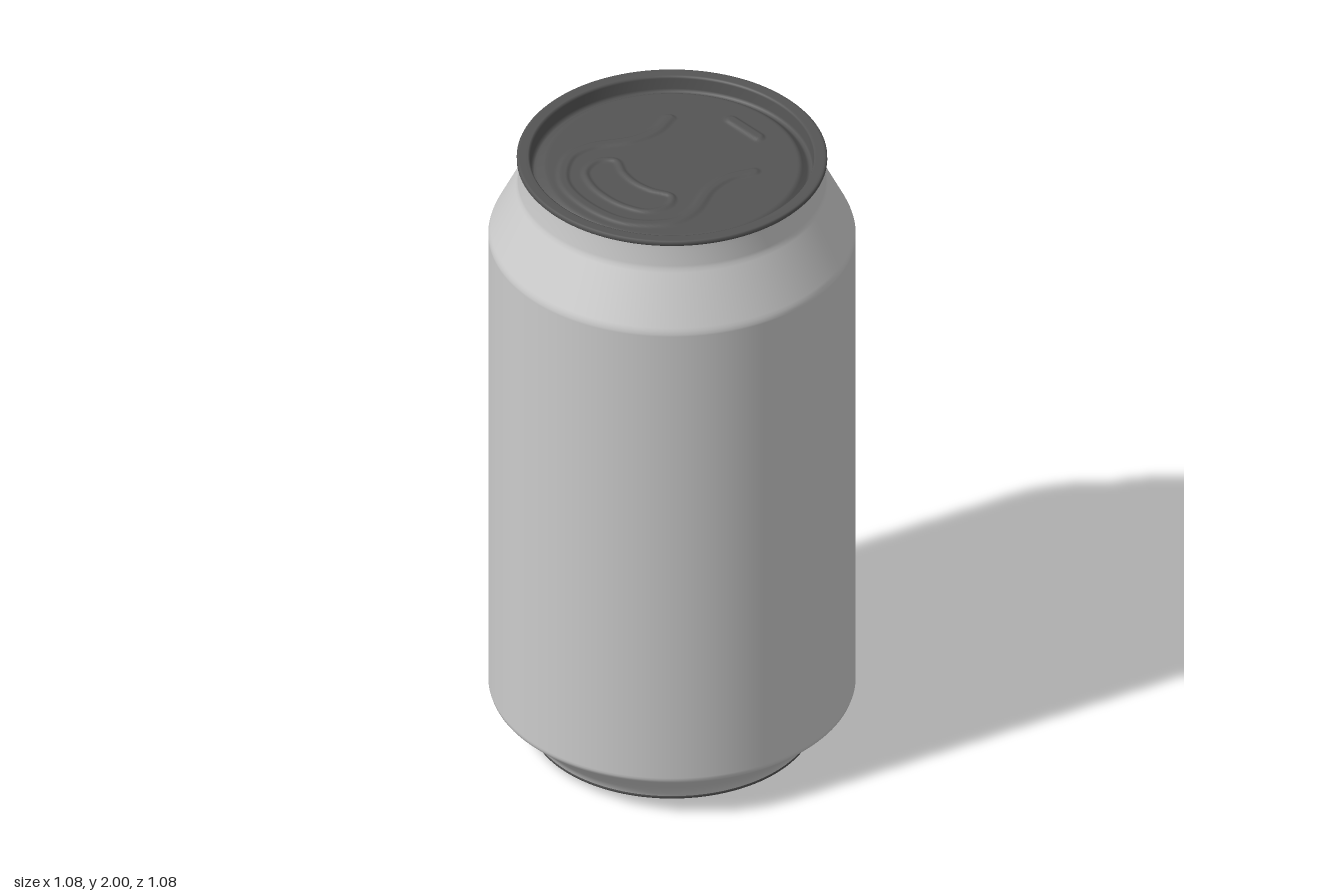
import * as THREE from 'three';
import { mergeVertices } from 'three/addons/utils/BufferGeometryUtils.js';

const grey = new THREE.MeshStandardMaterial({ color: 0xcccccc });
const dark = new THREE.MeshStandardMaterial({ color: 0x555555 });

function lathe(name, profile, material, segments = 128) {
  const points = profile.map(([r, y]) => new THREE.Vector2(r, y));
  const mesh = new THREE.Mesh(new THREE.LatheGeometry(points, segments), material);
  mesh.name = name;
  return mesh;
}

// Smooth path over the lid, sampled as [x, z] points
function path(points, closed, samples) {
  const curve = new THREE.CatmullRomCurve3(points.map(([x, z]) => new THREE.Vector3(x, 0, z)), closed);
  return curve.getSpacedPoints(samples);
}

// Completes the left half of a path with its mirror image
const mirrored = (half) => [...half, ...half.slice(0, -1).reverse().map(([x, z]) => [-x, z])];

// Pressed shapes on the lid: path, flat half-width, height
const PANEL_Y = 1.968;
const embosses = [
  { // frame curving around the opening
    points: path(mirrored([[-0.188, -0.155], [-0.163, -0.08], [-0.172, 0], [-0.228, 0.12],
      [-0.228, 0.2], [-0.14, 0.3], [0, 0.33]]), false, 160),
    half: 0.009, height: 0.006,
  },
  { // outline of the drinking opening
    points: path([...mirrored([[-0.125, 0.112], [-0.06, 0.137], [0, 0.146]]),
      [0.157, 0.15], [0.14, 0.215], [0.075, 0.25], [0, 0.26],
      [-0.075, 0.25], [-0.14, 0.215], [-0.157, 0.15]], true, 140),
    half: 0.002, height: 0.006,
  },
  { // small bar at the back
    points: path([[-0.06, -0.285], [0, -0.285], [0.06, -0.285]], false, 24),
    half: 0.01, height: 0.007,
  },
];

function embossHeight(x, z) {
  let h = 0;
  for (const { points, half, height } of embosses) {
    let d2 = Infinity;
    for (const p of points) d2 = Math.min(d2, (p.x - x) ** 2 + (p.z - z) ** 2);
    h = Math.max(h, height * (1 - THREE.MathUtils.smoothstep(Math.sqrt(d2), half, half + 0.013)));
  }
  return h;
}

// Lid panel: a fine disc lifted along the pressed shapes
function lidPanel() {
  const rings = 80, radius = 0.365;
  const profile = Array.from({ length: rings + 1 }, (_, i) => [radius * (1 - i / rings), PANEL_Y]);
  const mesh = lathe('lidPanel', profile, dark, 256);
  let geometry = mesh.geometry;
  geometry.deleteAttribute('uv');
  geometry.deleteAttribute('normal');
  geometry = mergeVertices(geometry, 1e-5);
  const pos = geometry.attributes.position;
  for (let i = 0; i < pos.count; i++) {
    pos.setY(i, PANEL_Y + embossHeight(pos.getX(i), pos.getZ(i)));
  }
  geometry.computeVertexNormals();
  mesh.geometry = geometry;
  return mesh;
}

export function createModel() {
  const can = new THREE.Group();
  can.name = 'drinkCan';

  // Wall with tapered foot, shoulder and neck; close points keep the bends crisp
  can.add(lathe('body', [
    [0.42, 0.01], [0.425, 0.024], [0.437, 0.043], [0.46, 0.068], [0.53, 0.133], [0.537, 0.14],
    [0.54, 0.149], [0.54, 0.156], [0.54, 1.72], [0.54, 1.727], [0.537, 1.737], [0.533, 1.746],
    [0.46, 1.893], [0.455, 1.904], [0.453, 1.914], [0.447, 1.965], [0.446, 1.986],
  ], grey));

  // Rolled rim, inner wall and groove leading to the panel
  can.add(lathe('lidRim', [
    [0.445, 1.984], [0.453, 1.984], [0.4565, 1.988], [0.4565, 1.996], [0.453, 2], [0.448, 2],
    [0.424, 2], [0.419, 1.998], [0.417, 1.992], [0.415, 1.958], [0.412, 1.95], [0.405, 1.947],
    [0.397, 1.95], [0.384, 1.963], [0.377, 1.967], [0.371, PANEL_Y], [0.365, PANEL_Y],
  ], dark));
  can.add(lidPanel());

  // Standing ring and hollow domed bottom
  const dome = Array.from({ length: 13 }, (_, i) => {
    const r = (0.335 * i) / 12;
    return [r, 0.09 - 0.05 * (r / 0.335) ** 2];
  });
  can.add(lathe('base', [
    ...dome, [0.35, 0.03], [0.375, 0.008], [0.385, 0.002], [0.395, 0], [0.412, 0],
    [0.419, 0.003], [0.422, 0.008], [0.421, 0.013],
  ], dark));

  return can;
}
